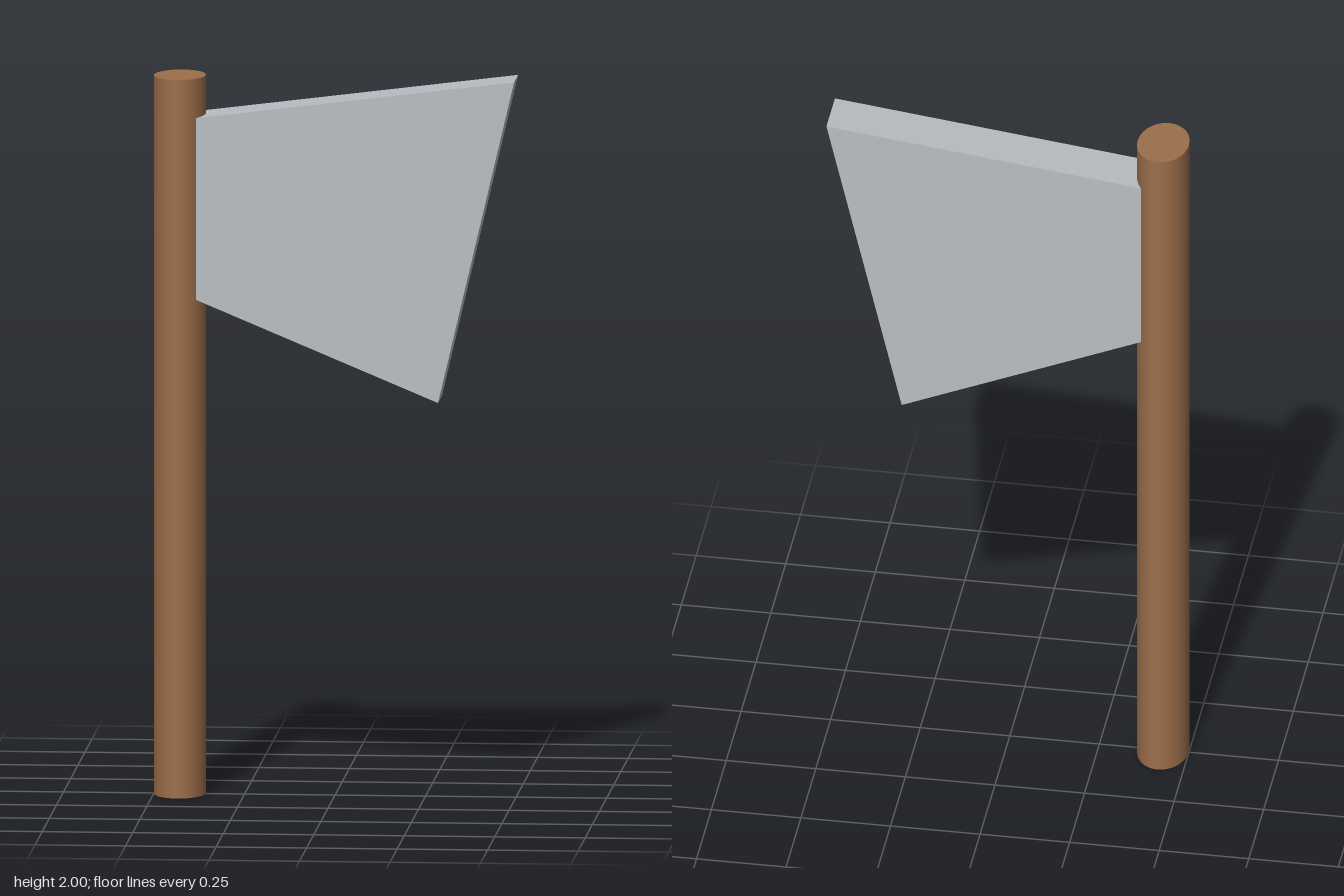
import * as THREE from 'three';

export function createModel() {
  const wood = new THREE.MeshStandardMaterial({ name: 'brown wood', color: 0x9c6f4a });
  const steel = new THREE.MeshStandardMaterial({ name: 'grey steel', color: 0xb9bfc2 });
  const rimSteel = new THREE.MeshStandardMaterial({ name: 'cool grey rim', color: 0xb8bbc1 });

  const model = new THREE.Group();
  model.name = 'axe';

  // Handle: a straight shaft with an oval section, deeper than it is wide
  const handle = new THREE.Mesh(new THREE.CylinderGeometry(1, 1, 2, 64), wood);
  handle.name = 'handle';
  handle.scale.set(0.0715, 1, 0.1);
  handle.position.set(-0.4285, 1, 0);
  model.add(handle);

  // Blade: a flat slab flaring from the handle to a slanted edge
  const outline = new THREE.Shape([
    new THREE.Vector2(-0.38, 1.385),
    new THREE.Vector2(0.29, 1.105),
    new THREE.Vector2(0.5, 2),
    new THREE.Vector2(-0.38, 1.89),
  ]);
  const thickness = 0.143;
  const bladeGeometry = new THREE.ExtrudeGeometry(outline, { depth: thickness, bevelEnabled: false });
  bladeGeometry.translate(0, 0, -thickness / 2);
  const blade = new THREE.Mesh(bladeGeometry, [steel, rimSteel]);
  blade.name = 'blade';
  model.add(blade);

  return model;
}
